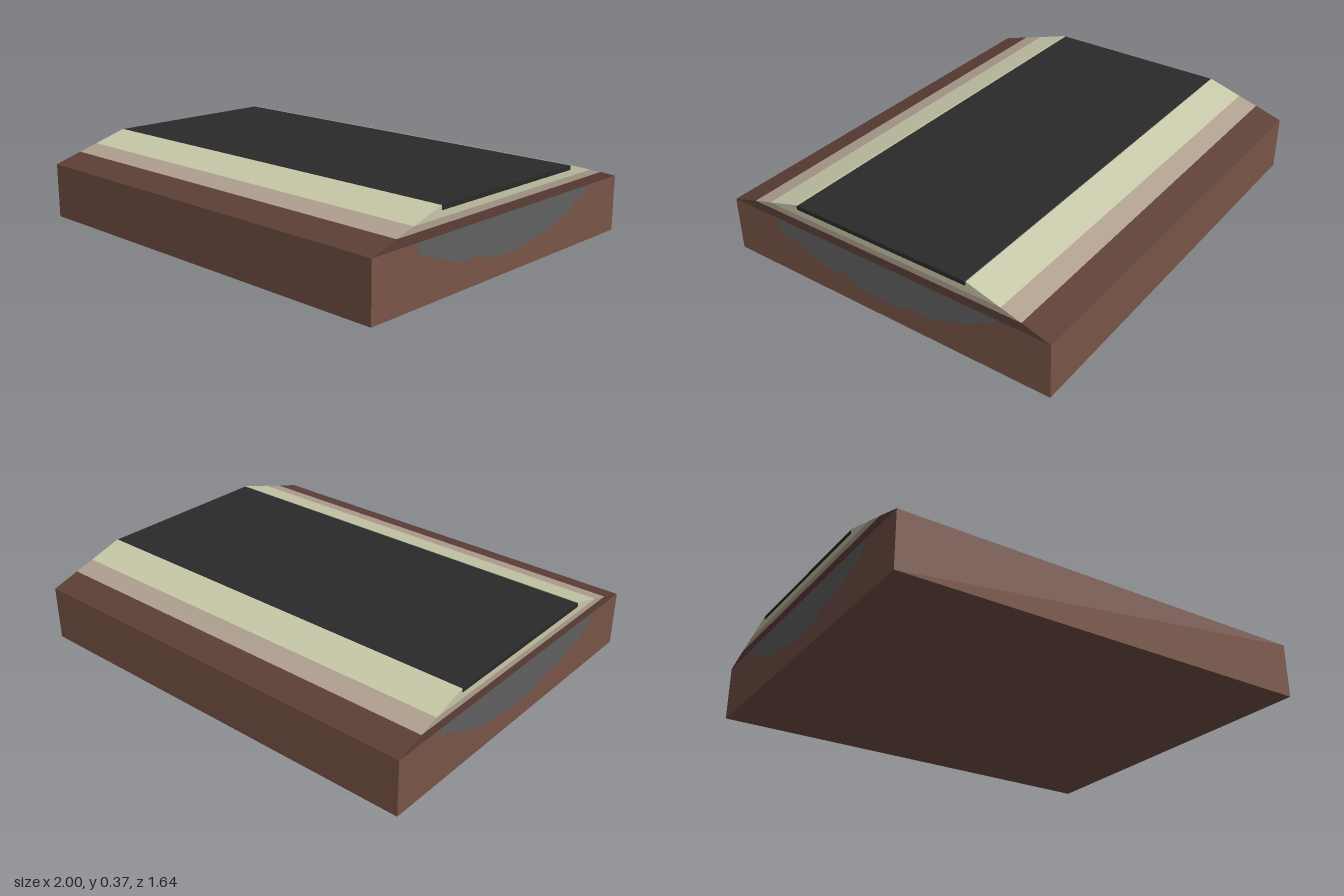
import * as THREE from 'three';

const LENGTH = 2;

// Extrudes a (z, y) cross-section along the whole x length.
function layer(name, color, section) {
  const shape = new THREE.Shape(section.map(([z, y]) => new THREE.Vector2(z, y)));
  const geometry = new THREE.ExtrudeGeometry(shape, { depth: LENGTH, bevelEnabled: false });
  geometry.translate(0, 0, -LENGTH / 2);
  geometry.rotateY(-Math.PI / 2);
  const mesh = new THREE.Mesh(geometry, new THREE.MeshStandardMaterial({ color, flatShading: true }));
  mesh.name = name;
  return mesh;
}

// Closes a half section by mirroring it across z = 0.
const mirrored = (half) => [...half, ...half.map(([z, y]) => [-z, y]).reverse()];

export function createModel() {
  const group = new THREE.Group();
  group.name = 'roadSection';

  const baseTop = 0.255, subTop = 0.295, gravelTop = 0.322, top = 0.369;
  const roadHalf = 0.437, roadBottom = 0.349;

  // Ragged underside of the rock bed, from +z to -z
  const rockEdge = [
    [0.587, baseTop], [0.55, 0.2], [0.3, 0.113], [0.215, 0.125], [0.115, 0.087],
    [-0.053, 0.078], [-0.18, 0.106], [-0.273, 0.109], [-0.37, 0.145],
    [-0.453, 0.167], [-0.48, 0.2], [-0.545, 0.213], [-0.598, baseTop],
  ];

  // Soil block with a trough, and the rock filling it
  group.add(layer('soilBase', 0x795548, [
    [-0.82, 0], [0.82, 0], [0.82, baseTop], ...rockEdge, [-0.82, baseTop],
  ]));
  group.add(layer('rockBed', 0x616161, rockEdge));

  // Sloping embankment layers
  group.add(layer('subgrade', 0x5d4037, mirrored([[0.82, baseTop], [0.69, subTop]])));
  group.add(layer('gravelLayer', 0xb0a090, mirrored([[0.69, subTop], [0.597, gravelTop]])));
  group.add(layer('sandLayer', 0xc8c8a9, mirrored([
    [0.597, gravelTop], [0.441, top], [roadHalf, top], [roadHalf, roadBottom],
  ])));

  // Asphalt slab with softened edges, set into the sand layer
  const c = 0.005;
  group.add(layer('asphalt', 0x2a2a2a, mirrored([
    [roadHalf - c, roadBottom], [roadHalf, roadBottom + c],
    [roadHalf, top - c], [roadHalf - c, top],
  ])));

  return group;
}
